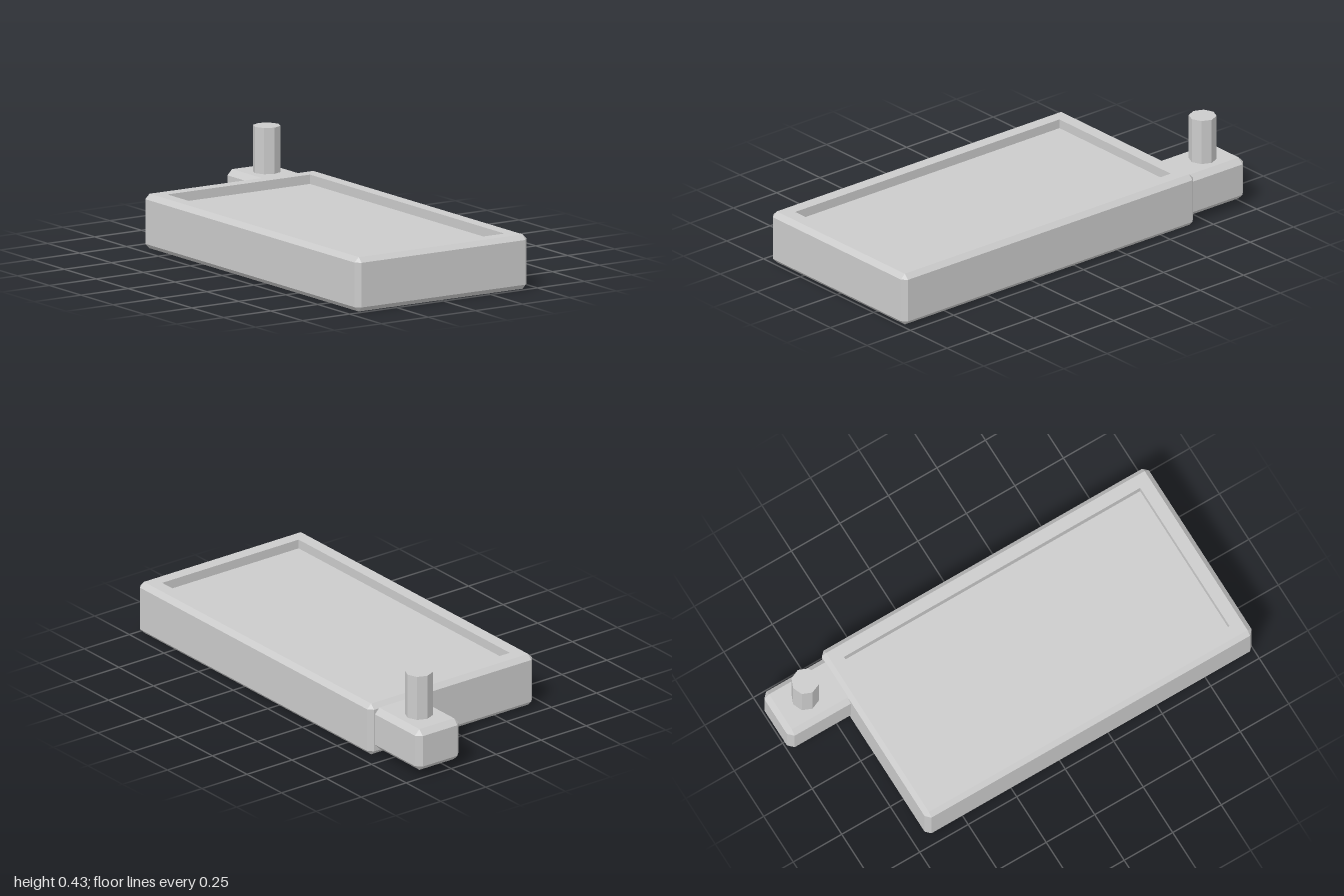
import * as THREE from 'three';

const material = new THREE.MeshStandardMaterial({ color: 0xcccccc, flatShading: true });

// Rectangle loop of eight points with corners cut by c (c = 0 gives a sharp rectangle)
function ring(hx, hz, c, y) {
  return [
    [hx, hz - c], [hx - c, hz], [-hx + c, hz], [-hx, hz - c],
    [-hx, -hz + c], [-hx + c, -hz], [hx - c, -hz], [hx, -hz + c],
  ].map(([x, z]) => new THREE.Vector3(x, y, z));
}

// Skin a stack of loops and cap both ends
function loft(rings) {
  const positions = [];
  const tri = (a, b, c) => {
    if (new THREE.Triangle(a, b, c).getArea() < 1e-7) return;
    for (const p of [a, b, c]) positions.push(p.x, p.y, p.z);
  };
  const n = rings[0].length;
  for (let k = 0; k < rings.length - 1; k++) {
    const low = rings[k], high = rings[k + 1];
    for (let i = 0; i < n; i++) {
      const j = (i + 1) % n;
      tri(low[i], high[i], low[j]);
      tri(low[j], high[i], high[j]);
    }
  }
  const first = rings[0], last = rings[rings.length - 1];
  for (let i = 1; i < n - 1; i++) {
    tri(first[0], first[i], first[i + 1]);
    tri(last[0], last[i + 1], last[i]);
  }
  const geometry = new THREE.BufferGeometry();
  geometry.setAttribute('position', new THREE.Float32BufferAttribute(positions, 3));
  geometry.computeVertexNormals();
  return geometry;
}

// Loops of a box with all edges chamfered by c
const chamferedBox = (hx, hz, height, c) => [
  ring(hx - c, hz - c, 0, 0),
  ring(hx, hz, c, c),
  ring(hx, hz, c, height - c),
  ring(hx - c, hz - c, 0, height),
];

export function createModel() {
  const model = new THREE.Group();
  const add = (name, geometry, x, y, z) => {
    const mesh = new THREE.Mesh(geometry, material);
    mesh.name = name;
    mesh.position.set(x, y, z);
    model.add(mesh);
  };

  // Main tray: chamfered block with a shallow rectangular recess in its top
  add('tray', loft([
    ...chamferedBox(0.458, 0.843, 0.245, 0.022),
    ring(0.379, 0.763, 0, 0.245),
    ring(0.379, 0.763, 0, 0.203),
  ]), 0, 0, 0.157);

  // Bracket projecting from the back, its front end sunk into the tray
  add('bracket', loft(chamferedBox(0.121, 0.18, 0.197, 0.025)), 0.311, 0.028, -0.82);

  // Octagonal peg standing on the bracket
  add('peg', new THREE.CylinderGeometry(0.062, 0.062, 0.233, 8), 0.312, 0.3165, -0.847);

  return model;
}
